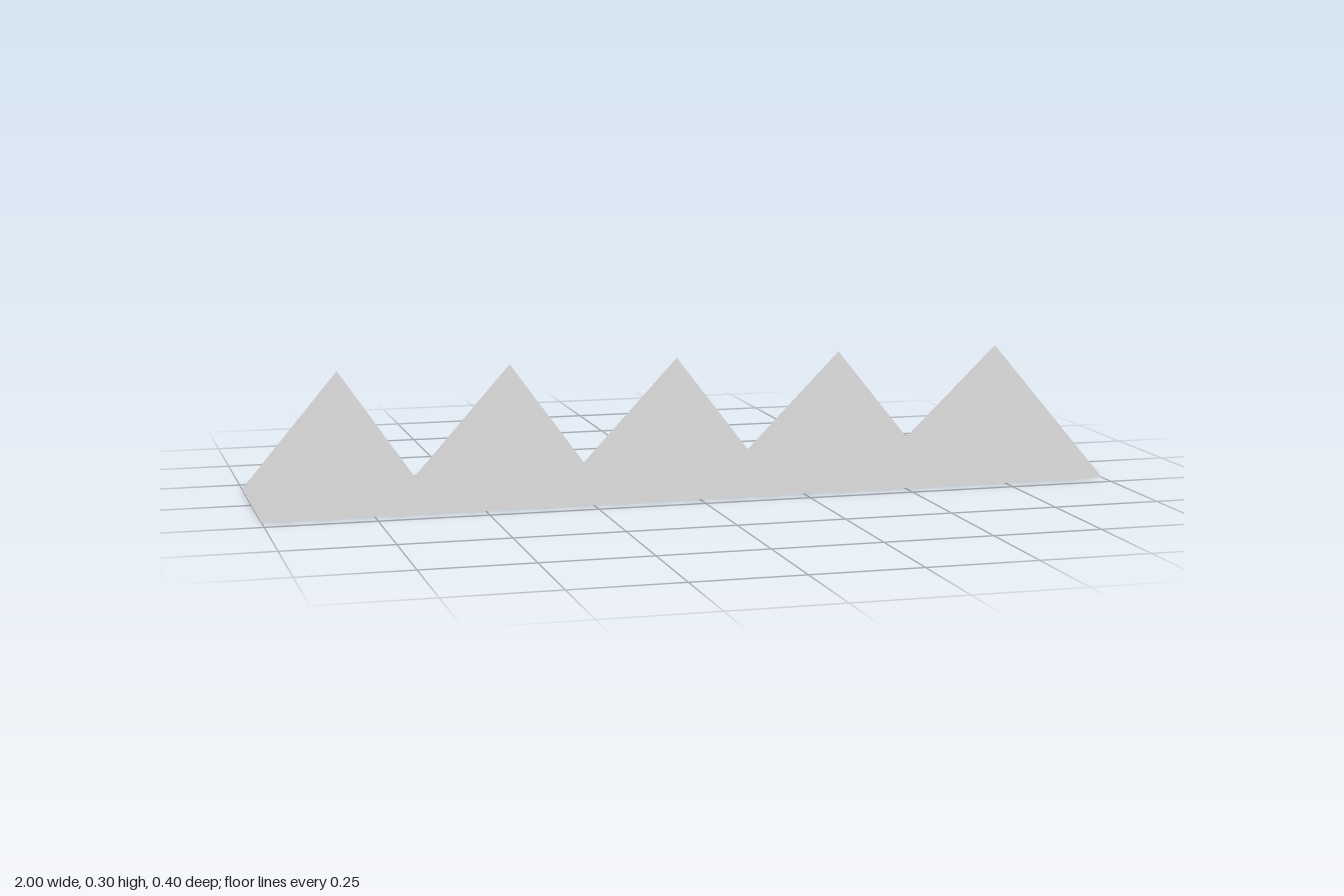
import * as THREE from 'three';

const COUNT = 5;
const SIDE = 0.4;
const HEIGHT = 0.3;

export function createModel() {
  const group = new THREE.Group();
  group.name = 'pyramidStrip';
  const material = new THREE.MeshStandardMaterial({ color: 0xcccccc, flatShading: true });

  // Four-sided spike without a floor, its base edges aligned to x and z
  const spike = new THREE.ConeGeometry(SIDE / Math.SQRT2, HEIGHT, 4, 1, true);
  spike.rotateY(Math.PI / 4);
  spike.translate(0, HEIGHT / 2, 0);

  // Row of spikes, touching edge to edge
  for (let i = 0; i < COUNT; i++) {
    const pyramid = new THREE.Mesh(spike, material);
    pyramid.name = `pyramid${i + 1}`;
    pyramid.position.x = (i - (COUNT - 1) / 2) * SIDE;
    group.add(pyramid);
  }

  // One flat underside closing the whole row, facing down
  const floor = new THREE.PlaneGeometry(COUNT * SIDE, SIDE);
  floor.rotateX(Math.PI / 2);
  const base = new THREE.Mesh(floor, material);
  base.name = 'base';
  group.add(base);

  return group;
}
